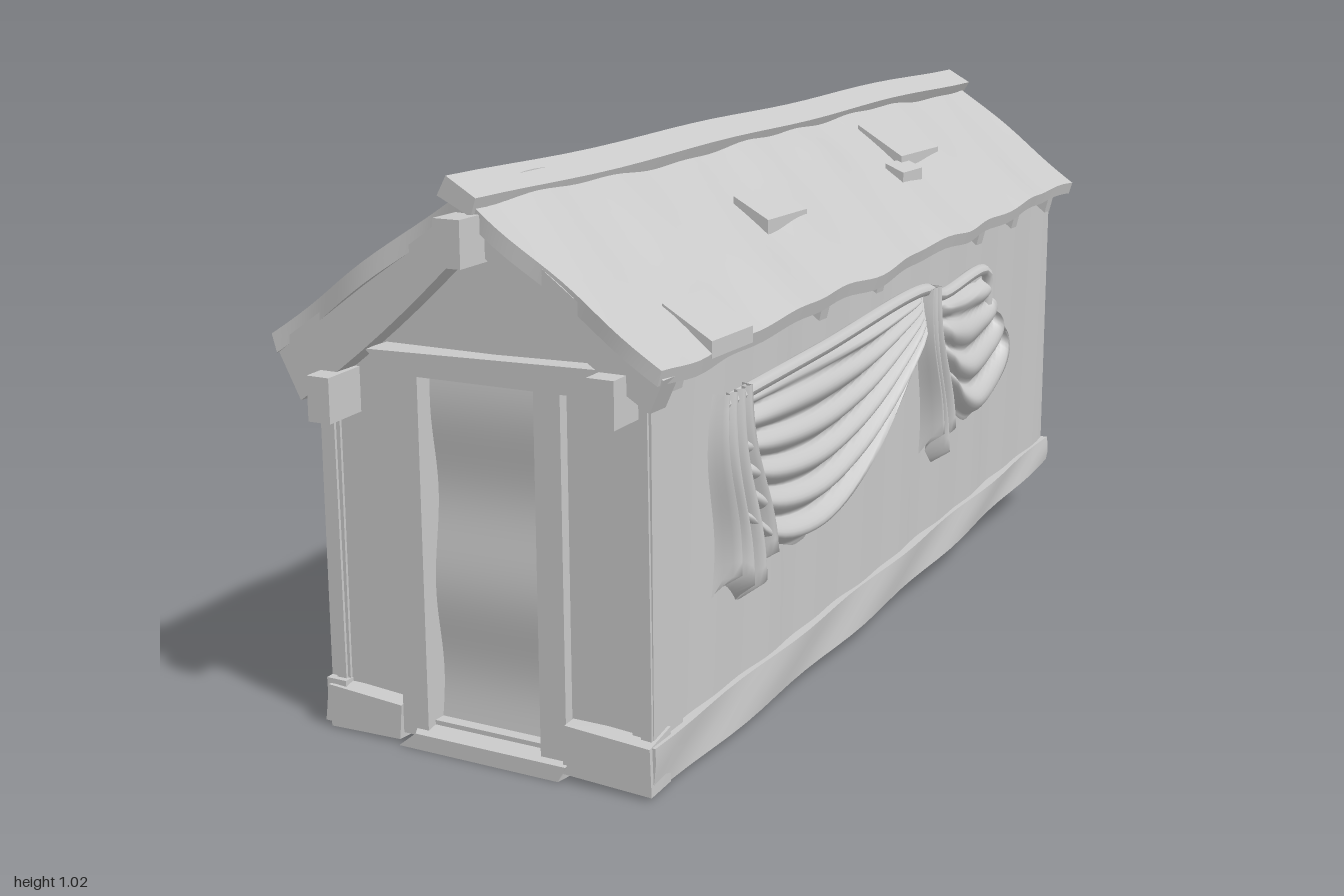
import * as THREE from 'three';

export function createModel() {
  const group = new THREE.Group();
  const plaster = new THREE.MeshStandardMaterial({ color: 0xc8c8c8, side: THREE.DoubleSide });
  plaster.name = 'pale grey';

  const add = (name, geo) => {
    geo.computeVertexNormals();
    const mesh = new THREE.Mesh(geo, plaster);
    mesh.name = name;
    group.add(mesh);
    return mesh;
  };
  const mix = THREE.MathUtils.lerp;
  const rect = (x0, x1, y0, y1) => [[x0, y0], [x1, y0], [x1, y1], [x0, y1]];

  // Solid between a front and a back four-cornered section
  // (corners: bottom left, bottom right, top right, top left).
  function loft(name, front, zF, back, zB, seg = [1, 1, 1], warp = null) {
    const geo = new THREE.BoxGeometry(1, 1, 1, ...seg);
    const pos = geo.attributes.position;
    const p = new THREE.Vector3();
    for (let i = 0; i < pos.count; i++) {
      const u = pos.getX(i) + 0.5, v = pos.getY(i) + 0.5, t = 0.5 - pos.getZ(i);
      const at = (s, k) => mix(mix(s[0][k], s[1][k], u), mix(s[3][k], s[2][k], u), v);
      p.set(mix(at(front, 0), at(back, 0), t), mix(at(front, 1), at(back, 1), t), mix(zF, zB, t));
      if (warp) warp(p, u, v, t);
      pos.setXYZ(i, p.x, p.y, p.z);
    }
    return add(name, geo);
  }
  const block = (name, x0, x1, y0, y1, z0, z1) =>
    loft(name, rect(x0, x1, y0, y1), z1, rect(x0, x1, y0, y1), z0);

  // Open surface from a rule (u, v) -> [x, y, z]
  function sheet(name, nu, nv, rule) {
    const geo = new THREE.PlaneGeometry(1, 1, nu, nv);
    const pos = geo.attributes.position;
    for (let i = 0; i < pos.count; i++)
      pos.setXYZ(i, ...rule(pos.getX(i) + 0.5, 0.5 - pos.getY(i)));
    return add(name, geo);
  }

  // Side walls with gently buckled planks, their bases climbing to the back
  const buckle = (p) => { p.x += 0.004 * Math.sin(p.z * 23) * Math.sin(p.z * 9 + p.y * 2); };
  const sag = (p, u, v, t) => {
    p.y -= 0.016 * Math.sin(Math.PI * t) * (1 - v * 0.6);
    p.x += 0.004 * Math.sin(p.z * 13 + v * 3);
  };
  loft('rightWall', rect(0.3, 0.32, 0.03, 0.72), 0.9, rect(0.3, 0.32, 0.12, 0.79), -0.96, [1, 6, 60], buckle);
  loft('leftWall', rect(-0.312, -0.292, 0.03, 0.71), 0.9, rect(-0.312, -0.292, 0.12, 0.78), -0.96, [1, 6, 60], buckle);
  loft('rightBaseboard', rect(0.29, 0.333, 0.01, 0.09), 0.91, rect(0.29, 0.333, 0.11, 0.165), -0.965, [1, 3, 30], sag);
  loft('leftBaseboard', rect(-0.326, -0.285, 0.01, 0.09), 0.91, rect(-0.326, -0.285, 0.11, 0.165), -0.965, [1, 3, 30], sag);
  for (const [x, top] of [[0.305, 0.71], [-0.303, 0.7]])
    block('cornerPost', x - 0.02, x + 0.02, 0.03, top, 0.8, 0.895);

  // Front gable wall with a doorway
  const wall = new THREE.Shape([[-0.305, 0.01], [0.315, 0.01], [0.315, 0.72], [0.02, 0.93], [-0.305, 0.69]]
    .map(([x, y]) => new THREE.Vector2(x, y)));
  wall.holes.push(new THREE.Path([[-0.11, 0.045], [-0.11, 0.65], [0.12, 0.65], [0.12, 0.045]]
    .map(([x, y]) => new THREE.Vector2(x, y))));
  const gable = new THREE.ExtrudeGeometry(wall, { depth: 0.04, bevelEnabled: false });
  gable.translate(0, 0, 0.85);
  add('frontWall', gable);

  // Door and its frame
  sheet('doorPanel', 2, 40, (u, v) =>
    [mix(-0.115, 0.125, u), mix(0.655, 0.04, v), 0.868 + 0.008 * Math.sin(v * 12 + 0.6)]);
  block('doorPostLeft', -0.16, -0.108, 0.02, 0.66, 0.85, 0.91);
  block('doorPostRight', 0.118, 0.168, 0.02, 0.66, 0.85, 0.91);
  loft('lintel', [[-0.155, 0.653], [0.3, 0.655], [0.31, 0.703], [-0.2, 0.69]], 0.925,
    rect(-0.16, 0.3, 0.655, 0.705), 0.85);
  loft('threshold', [[-0.16, 0.002], [0.16, 0.002], [0.175, 0.03], [-0.125, 0.03]], 0.925,
    rect(-0.16, 0.17, 0.002, 0.045), 0.85);
  loft('frontBaseRight', [[0.165, 0.015], [0.333, 0.008], [0.33, 0.09], [0.17, 0.1]], 0.918,
    rect(0.17, 0.33, 0.01, 0.105), 0.85);
  loft('frontBaseLeft', [[-0.312, 0.004], [-0.165, 0.008], [-0.16, 0.07], [-0.315, 0.08]], 0.915,
    rect(-0.312, -0.165, 0.005, 0.09), 0.85);

  // Roof slabs, with low bumps under the loose patches
  const bumps = [[-0.08, -0.43], [-0.07, 0.11], [-0.2, 0.65], [0.16, -0.44], [0.21, 0.22], [0.13, -0.1], [0.3, 0.75], [-0.05, -0.85]];
  const weather = (p, u, v) => {
    const { x, z } = p;
    p.y += 0.004 * Math.sin(z * 11 + x * 9) + 0.003 * Math.sin(z * 27 - x * 14);
    if (v > 0.5) for (const [bx, bz] of bumps)
      p.y += 0.012 * Math.exp(-((x - bx) ** 2) / 0.003 - ((z - bz) ** 2) / 0.008);
    p.z += 0.008 * Math.sin(x * 25) * Math.abs(z);
    p.x += 0.005 * Math.sin(z * 17) * Math.min(1, Math.abs(x) * 3);
  };
  loft('roofRight', [[0.01, 0.935], [0.365, 0.685], [0.372, 0.71], [0.01, 0.97]], 0.94,
    [[0.05, 0.975], [0.36, 0.755], [0.367, 0.78], [0.05, 1.01]], -0.975, [16, 1, 70], weather);
  loft('roofLeft', [[-0.372, 0.668], [0.02, 0.935], [0.02, 0.97], [-0.38, 0.7]], 0.94,
    [[-0.36, 0.735], [0.06, 0.975], [0.06, 1.01], [-0.365, 0.765]], -0.975, [16, 1, 70], weather);
  loft('ridgeCap', [[-0.018, 0.955], [0.045, 0.925], [0.055, 0.955], [0, 0.987]], 0.955,
    [[0.015, 1.0], [0.085, 0.975], [0.1, 1.0], [0.05, 1.028]], -0.985, [1, 1, 24],
    (p) => { p.x += 0.005 * Math.sin(p.z * 5); p.y += 0.003 * Math.sin(p.z * 8); });

  // Loose shingles: centre x, centre z, width, length
  const patches = [[-0.31, 0.09, 0.15, 0.09], [-0.07, 0.11, 0.08, 0.14], [-0.08, -0.43, 0.08, 0.18],
    [0.2, 0.24, 0.07, 0.16], [0.16, -0.44, 0.1, 0.2], [0.33, 0.72, 0.09, 0.14], [0.22, -0.33, 0.04, 0.1]];
  for (const [x, z, w, l] of patches) {
    const t = (0.94 - z) / 1.915, apex = mix(0.01, 0.055, t);
    const y = (px) => mix(0.97, 1.01, t) - Math.abs(px - apex) * mix(px > 0 ? 0.718 : 0.69, px > 0 ? 0.726 : 0.583, t);
    const a = x - w / 2, b = x + w / 2;
    // the lower edge lifts off the roof
    const la = x < 0 ? 0.018 : 0.006, lb = x < 0 ? 0.006 : 0.018;
    const s = [[a, y(a) - 0.01], [b, y(b) - 0.01], [b, y(b) + lb], [a, y(a) + la]];
    loft('looseShingle', s, z + l / 2, s, z - l / 2);
  }

  // Bargeboards under both roof ends
  const rake = (zF, zB, lift) => {
    loft('bargeboardRight', [[0.03, 0.88 + lift], [0.345, 0.645 + lift], [0.37, 0.7 + lift], [0.02, 0.95 + lift]], zF,
      [[0.03, 0.88 + lift], [0.345, 0.645 + lift], [0.37, 0.7 + lift], [0.02, 0.95 + lift]], zB, [8, 1, 1],
      (p, u, v) => { p.y -= (1 - v) * 0.015 * Math.sin(u * Math.PI); });
    loft('bargeboardLeft', [[-0.33, 0.59 + lift], [0.02, 0.88 + lift], [0.02, 0.95 + lift], [-0.378, 0.68 + lift]], zF,
      [[-0.33, 0.59 + lift], [0.02, 0.88 + lift], [0.02, 0.95 + lift], [-0.378, 0.68 + lift]], zB, [8, 1, 1],
      (p, u, v) => { p.y -= (1 - v) * 0.012 * Math.sin(u * Math.PI); });
  };
  rake(0.935, 0.885, 0);

  // Ridge beam and wall plates, ends showing past the walls
  loft('ridgeBeam', rect(0, 0.05, 0.853, 0.93), 1.0, rect(0.03, 0.08, 0.915, 0.98), -0.99);
  loft('rightPlate', rect(0.256, 0.305, 0.622, 0.7), 0.972, rect(0.256, 0.305, 0.69, 0.765), -0.97);
  loft('leftPlate', rect(-0.285, -0.24, 0.567, 0.645), 0.972, rect(-0.285, -0.24, 0.67, 0.745), -0.97);

  // Rafters under the roof, with tails below the eaves
  for (const z of [0.84, 0.31, 0.06, -0.46, -0.67, -0.89]) {
    const t = (0.94 - z) / 1.915, d = 0.06 * t, ax = 0.02 + 0.03 * t;
    const r = [[ax, 0.9 + d * 0.7], [0.34, 0.66 + d], [0.35, 0.7 + d], [ax, 0.945 + d * 0.6]];
    const l = [[-0.335, 0.64 + d], [ax, 0.9 + d * 0.7], [ax, 0.945 + d * 0.6], [-0.345, 0.69 + d]];
    loft('rafterRight', r, z + 0.016, r, z - 0.016);
    loft('rafterLeft', l, z + 0.016, l, z - 0.016);
  }

  // Cloth on the right wall: swags hang between a top line and a curved hem
  const hem = (pts) => new THREE.CatmullRomCurve3(pts.map(([z, y]) => new THREE.Vector3(0, y, z)));
  function swag(name, topA, topB, hemPts, folds, depth) {
    const low = hem(hemPts);
    sheet(name, 32, folds * 10, (u, v) => {
      const b = low.getPoint(u);
      const edge = Math.min(1, 10 * Math.min(u, 1 - u, v, 1 - v));
      const fold = Math.abs(Math.sin(v * Math.PI * folds + 0.8 * Math.sin(u * 5)));
      return [0.314 + edge * (0.012 + depth * fold * (0.5 + 0.5 * v)),
        mix(mix(topA[1], topB[1], u), b.y, v), mix(mix(topA[0], topB[0], u), b.z, v)];
    });
  }
  swag('largeSwag', [0.67, 0.61], [-0.22, 0.65],
    [[0.66, 0.42], [0.54, 0.31], [0.34, 0.27], [0.14, 0.33], [-0.08, 0.47], [-0.22, 0.62]], 6, 0.034);
  swag('smallSwag', [-0.26, 0.62], [-0.54, 0.625],
    [[-0.3, 0.45], [-0.38, 0.35], [-0.48, 0.31], [-0.6, 0.37], [-0.645, 0.44], [-0.57, 0.53]], 4, 0.032);

  // Hanging tails with upright folds: top z range, bottom z range, top and bottom y
  function tail(name, a0, a1, b0, b1, y0, y1, folds) {
    sheet(name, folds * 8, 14, (u, v) => {
      const edge = Math.min(1, 8 * Math.min(u, 1 - u), 12 * (1 - v) + 0.2);
      const fold = Math.abs(Math.sin(u * Math.PI * folds));
      return [0.314 + edge * (0.018 + 0.035 * fold * (0.4 + 0.6 * v)),
        mix(y0, y1 + 0.025 * Math.sin(u * 9), v),
        mix(mix(a0, a1, u), mix(b0, b1, u), v) + 0.012 * Math.sin(v * 6)];
    });
  }
  tail('frontTail', 0.69, 0.58, 0.7, 0.51, 0.62, 0.265, 4);
  tail('middleTail', -0.19, -0.25, -0.2, -0.3, 0.65, 0.3, 3);

  // Rolled top edge of the cloth
  const roll = new THREE.CatmullRomCurve3([[0.68, 0.6], [0.3, 0.62], [-0.2, 0.648], [-0.27, 0.625], [-0.54, 0.63], [-0.545, 0.55]]
    .map(([z, y]) => new THREE.Vector3(0.328, y, z)));
  add('clothRoll', new THREE.TubeGeometry(roll, 50, 0.013, 8));

  return group;
}
